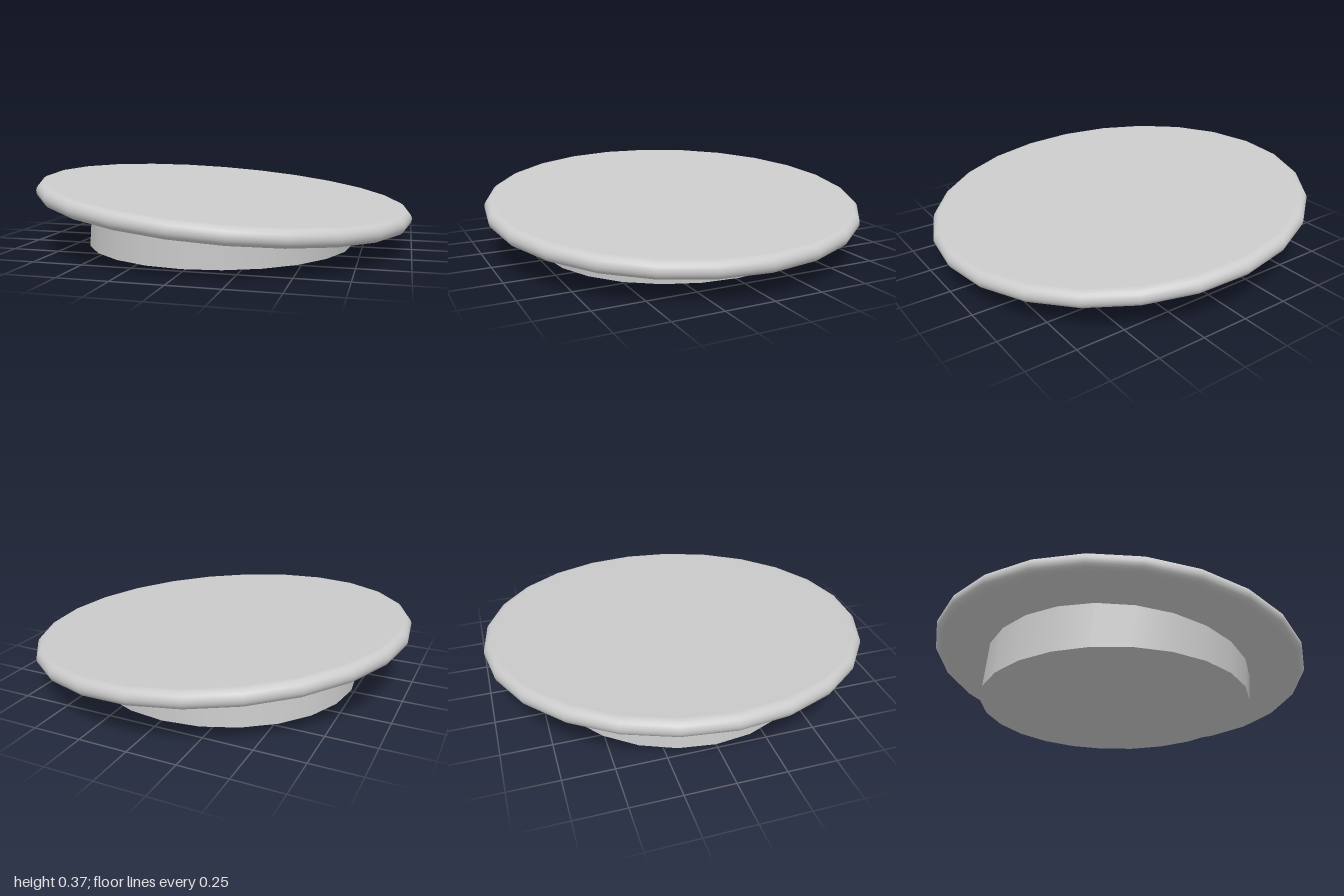
import * as THREE from 'three';

const SIDES = 24;
const LEAN = 0.087;      // sideways tilt of the whole piece
const PITCH = 0.014;     // slight tilt towards the front
const CENTRE_Y = 0.2425; // height of the disc centre
const RIM = 0.043;       // half thickness of the disc

export function createModel() {
  const group = new THREE.Group();
  const material = new THREE.MeshStandardMaterial({ color: 0xcccccc });

  // tilted carrier shared by disc and plug
  const tilted = new THREE.Group();
  tilted.name = 'tiltedCap';
  tilted.position.y = CENTRE_Y;
  tilted.rotation.set(PITCH, 0, -LEAN);
  group.add(tilted);

  // flat disc with a half-round rim
  const flat = 1 - RIM;
  const profile = [new THREE.Vector2(0, -RIM), new THREE.Vector2(flat - 0.004, -RIM)];
  for (let i = 0; i <= 10; i++) {
    const t = -Math.PI / 2 + (Math.PI * i) / 10;
    profile.push(new THREE.Vector2(flat + RIM * Math.cos(t), RIM * Math.sin(t)));
  }
  profile.push(new THREE.Vector2(flat - 0.004, RIM), new THREE.Vector2(0, RIM));
  const disc = new THREE.Mesh(new THREE.LatheGeometry(profile, SIDES), material);
  disc.name = 'disc';
  tilted.add(disc);

  // plug below the disc, its base cut level across the lean
  const plugGeometry = new THREE.CylinderGeometry(0.715, 0.715, 1, SIDES);
  const pos = plugGeometry.attributes.position;
  const nor = plugGeometry.attributes.normal;
  const base = 0.01 - CENTRE_Y;
  for (let i = 0; i < pos.count; i++) {
    const bottom = pos.getY(i) < 0;
    pos.setY(i, bottom ? (base + pos.getX(i) * Math.sin(LEAN)) / Math.cos(LEAN) : 0);
    if (nor.getY(i) < -0.5) nor.setXYZ(i, Math.sin(LEAN), -Math.cos(LEAN), 0);
  }
  const plug = new THREE.Mesh(plugGeometry, material);
  plug.name = 'plug';
  tilted.add(plug);

  return group;
}
